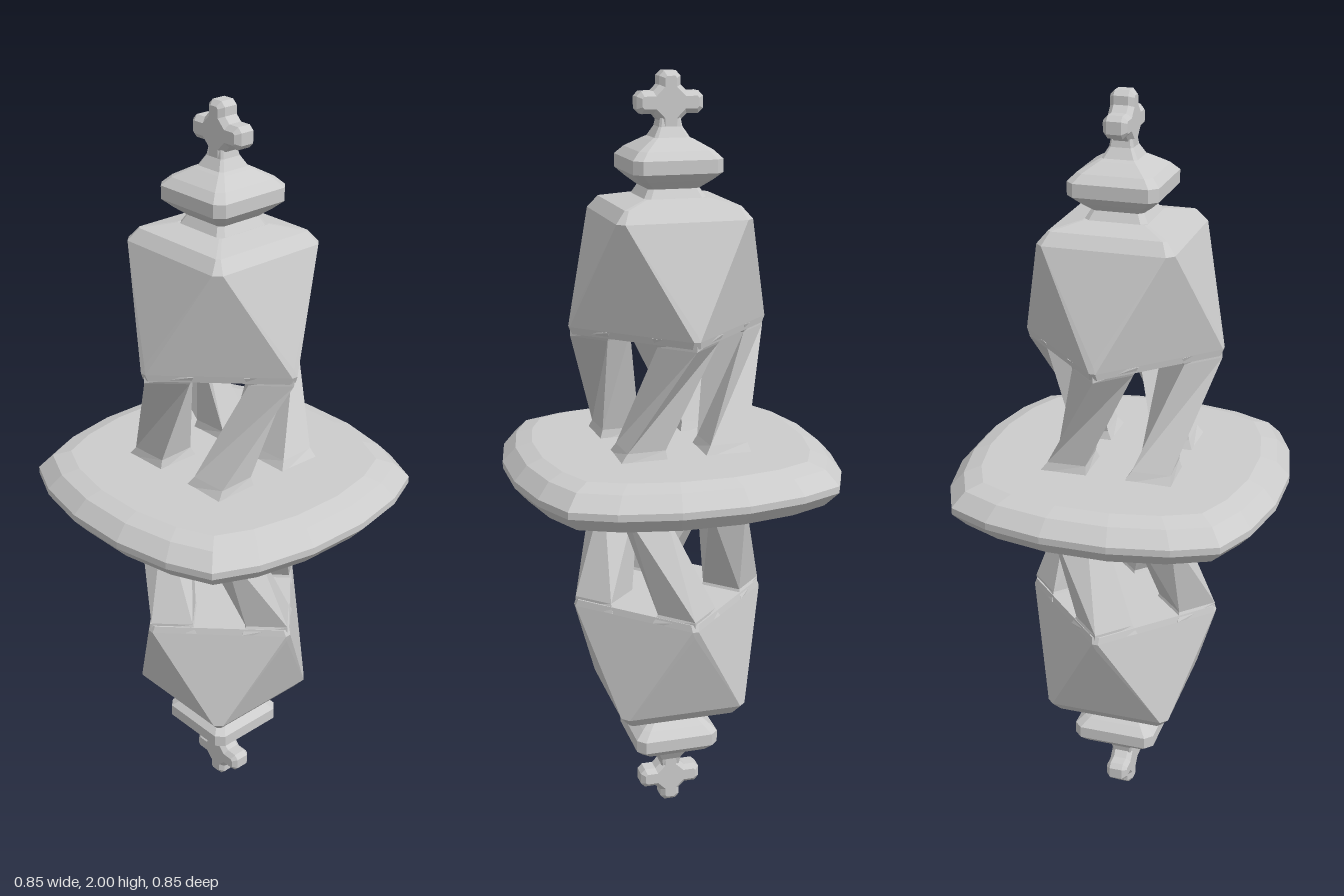
import * as THREE from 'three';
import { ConvexGeometry } from 'three/addons/geometries/ConvexGeometry.js';

const material = new THREE.MeshStandardMaterial({ color: 0xcccccc, flatShading: true });

function mesh(name, geometry) {
  const m = new THREE.Mesh(geometry, material);
  m.name = name;
  return m;
}

// Skin a stack of rings (bottom to top, counter-clockwise from above) and cap both ends.
function loft(rings) {
  const pos = [];
  const tri = (a, b, c) => pos.push(...a, ...b, ...c);
  const n = rings[0].length;
  for (let k = 0; k < rings.length - 1; k++) {
    for (let i = 0; i < n; i++) {
      const j = (i + 1) % n;
      tri(rings[k][i], rings[k][j], rings[k + 1][j]);
      tri(rings[k][i], rings[k + 1][j], rings[k + 1][i]);
    }
  }
  const bottom = rings[0], top = rings[rings.length - 1];
  for (let i = 1; i < n - 1; i++) {
    tri(bottom[0], bottom[i + 1], bottom[i]);
    tri(top[0], top[i], top[i + 1]);
  }
  const g = new THREE.BufferGeometry();
  g.setAttribute('position', new THREE.Float32BufferAttribute(pos, 3));
  g.computeVertexNormals();
  return g;
}

// Repeat a quarter outline four times around the axis.
function fourfold(quarter) {
  const out = [];
  for (let k = 0; k < 4; k++) {
    for (let [x, v] of quarter) {
      for (let t = 0; t < k; t++) [x, v] = [-v, x];
      out.push([x, v]);
    }
  }
  return out;
}

const level = (outline, y, s = 1) => outline.map(([x, v]) => [x * s, y, -v * s]);

// Square ring of half-width h with chamfered corners.
const squareRing = (h, c, y) => level(fourfold([[h, h - c], [h - c, h]]), y);

// Square disc with a softened rim.
function createDisc() {
  const rim = fourfold([[0.425, 0.085], [0.395, 0.235], [0.345, 0.345], [0.235, 0.395], [0.085, 0.425]]);
  const profile = [[-0.06, 0.82], [-0.045, 0.92], [-0.006, 1], [0.012, 1], [0.049, 0.92], [0.063, 0.82]];
  return mesh('disc', loft(profile.map(([y, s]) => level(rim, y, s))));
}

// Slanted leg: square section whose corners point outward, turned 45 degrees from top to foot.
function createLeg(twist) {
  const ring = (y, angle, r, outer, side, inner) =>
    [[0, r + outer], [side, r], [0, r - inner], [-side, r]].map(([t, d]) => [
      t * Math.cos(angle) + d * Math.sin(angle), y, d * Math.cos(angle) - t * Math.sin(angle),
    ]);
  const foot = (twist * Math.PI) / 4;
  return mesh('leg', loft([
    ring(0.055, foot, 0.156, 0.092, 0.088, 0.088),
    ring(0.085, foot * 0.94, 0.156, 0.071, 0.071, 0.071),
    ring(0.355, 0, 0.178, 0.078, 0.078, 0.078),
    ring(0.378, 0, 0.178, 0.078, 0.092, 0.092),
  ]));
}

// Antiprism body: diamond underside, bevelled square top.
function createBody() {
  const points = [
    ...level(fourfold([[0.252, -0.01], [0.252, 0.01]]), 0.362),
    ...level(fourfold([[0.259, -0.008], [0.259, 0.008]]), 0.38),
    ...level(fourfold([[0.254, 0]]), 0.4),
    ...squareRing(0.172, 0.018, 0.655),
    ...squareRing(0.147, 0.008, 0.685),
    ...squareRing(0.08, 0.005, 0.7),
  ].map((p) => new THREE.Vector3(...p));
  return mesh('body', new ConvexGeometry(points));
}

// Waisted square knob with a flared socket for the cross.
function createKnob() {
  const profile = [
    [0.082, 0.695], [0.066, 0.722], [0.092, 0.742], [0.114, 0.762], [0.114, 0.795],
    [0.094, 0.815], [0.055, 0.838], [0.045, 0.843], [0.03, 0.868], [0.026, 0.89],
  ];
  return mesh('knob', loft(profile.map(([h, y]) => squareRing(h, h * 0.18, y))));
}

// Bevelled cross with chamfered arm ends and filleted inner corners.
function createCross() {
  const outline = [];
  for (let k = 0; k < 4; k++) {
    const end = k % 2 ? 0.075 : 0.084;
    const arm = [[0.042, -0.027], [end - 0.012, -0.027], [end, -0.015],
      [end, 0.015], [end - 0.012, 0.027], [0.042, 0.027]];
    for (const [x, y] of arm) {
      outline.push(new THREE.Vector2(x, y).rotateAround(new THREE.Vector2(), (k * Math.PI) / 2));
    }
  }
  const bevel = 0.012;
  const g = new THREE.ExtrudeGeometry(new THREE.Shape(outline), {
    depth: 0.036, bevelEnabled: true, bevelSegments: 1,
    bevelSize: bevel, bevelThickness: bevel, bevelOffset: -bevel,
  });
  g.translate(0, 0.925, -0.018);
  return mesh('cross', g);
}

// Everything on one side of the disc.
function createHalf(name, twist) {
  const half = new THREE.Group();
  half.name = name;
  for (let k = 0; k < 4; k++) {
    const leg = createLeg(twist);
    leg.rotation.y = (k * Math.PI) / 2;
    half.add(leg);
  }
  half.add(createBody(), createKnob(), createCross());
  return half;
}

export function createModel() {
  const model = new THREE.Group();
  model.name = 'ornament';
  const upper = createHalf('upperHalf', -1);
  // Opposite twist, then turned over, gives the mirror image below.
  const lower = createHalf('lowerHalf', 1);
  lower.rotation.x = Math.PI;
  for (const part of [createDisc(), upper, lower]) {
    part.position.y = 1;
    model.add(part);
  }
  return model;
}
